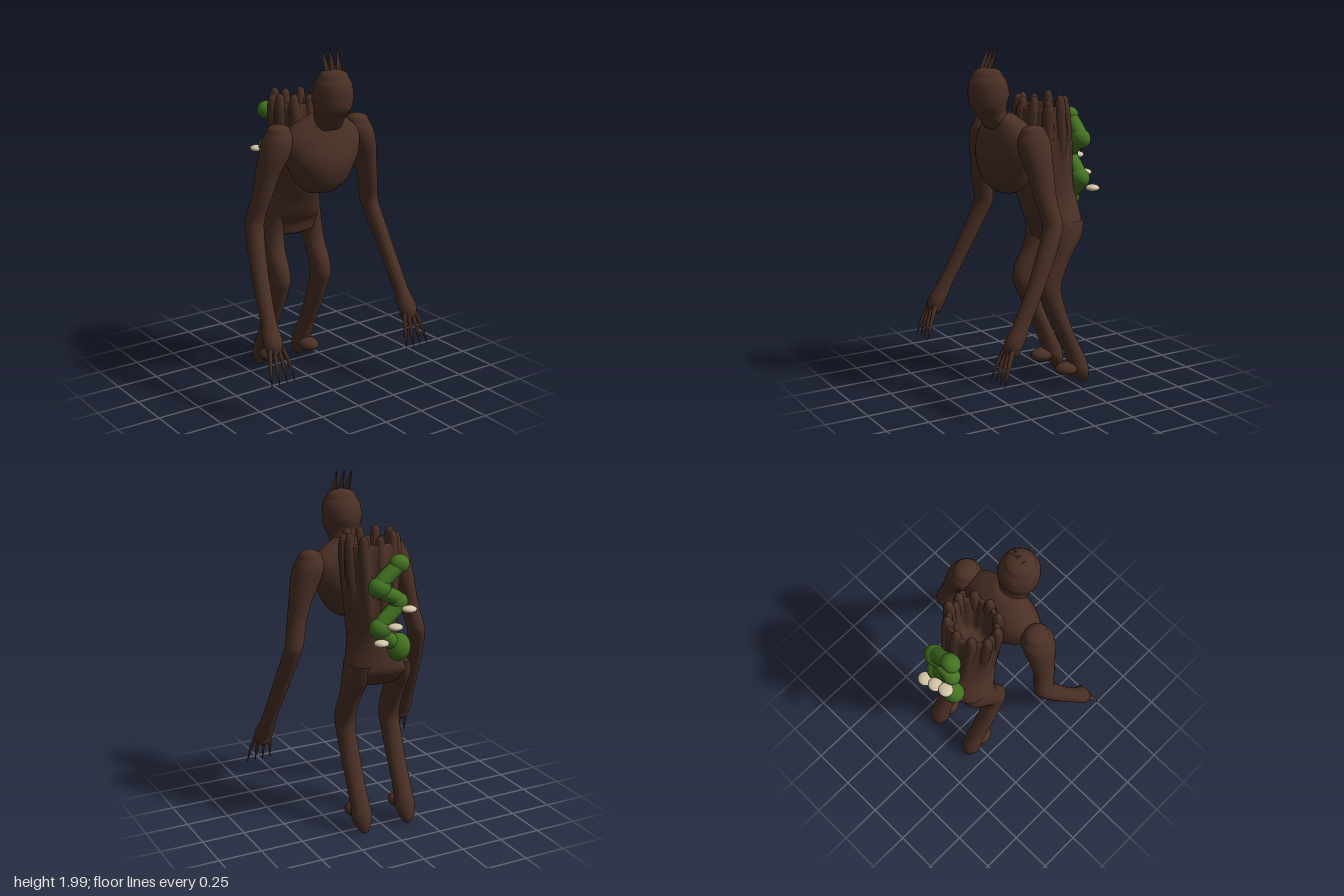
import * as THREE from 'three';

const bark = new THREE.MeshStandardMaterial({ color: 0x4a3025 });
bark.name = 'bark brown';
const moss = new THREE.MeshStandardMaterial({ color: 0x437321 });
moss.name = 'moss green';
const cream = new THREE.MeshStandardMaterial({ color: 0xd6c7a8 });
cream.name = 'mushroom cream';

const catmull = (a, b, c, d, t) =>
  0.5 * (2 * b + (c - a) * t + (2 * a - 5 * b + 4 * c - d) * t * t + (3 * b - a - 3 * c + d) * t * t * t);

// Smooth skin over horizontal slices [y, x, z, rx, rz], listed from top to bottom,
// with rounded caps of the given heights.
function loft(name, rows, { top = 0, bottom = 0, sides = 24, steps = 4, ridge = null } = {}) {
  const rings = [];
  const cap = (row, h, u) => {
    const k = Math.max(Math.cos(u * Math.PI / 2), 0.01);
    return [row[0] + h * Math.sin(u * Math.PI / 2), row[1], row[2], row[3] * k, row[4] * k];
  };
  const last = rows.length - 1;
  if (top) for (let i = 5; i > 0; i--) rings.push(cap(rows[0], top, i / 5));
  for (let i = 0; i < last; i++) {
    const [a, b, c, d] = [rows[Math.max(i - 1, 0)], rows[i], rows[i + 1], rows[Math.min(i + 2, last)]];
    for (let k = 0; k < steps; k++) rings.push(b.map((_, n) => catmull(a[n], b[n], c[n], d[n], k / steps)));
  }
  rings.push(rows[last]);
  if (bottom) for (let i = 1; i <= 5; i++) rings.push(cap(rows[last], -bottom, i / 5));

  const pos = [], index = [];
  rings.forEach(([y, x, z, rx, rz], i) => {
    for (let j = 0; j < sides; j++) {
      const t = (j / sides) * Math.PI * 2;
      const f = ridge ? ridge(t, y) : 1;
      pos.push(x + rx * f * Math.sin(t), y, z + rz * f * Math.cos(t));
      if (i === rings.length - 1) continue;
      const a = i * sides + j, b = i * sides + (j + 1) % sides;
      index.push(a, a + sides, b, a + sides, b + sides, b);
    }
  });
  const g = new THREE.BufferGeometry();
  g.setAttribute('position', new THREE.Float32BufferAttribute(pos, 3));
  g.setIndex(index);
  g.computeVertexNormals();
  const mesh = new THREE.Mesh(g, bark);
  mesh.name = name;
  return mesh;
}

function ellipsoid(name, material, [x, y, z], [rx, ry, rz]) {
  const mesh = new THREE.Mesh(new THREE.SphereGeometry(1, 24, 16), material);
  mesh.name = name;
  mesh.position.set(x, y, z);
  mesh.scale.set(rx, ry, rz);
  return mesh;
}

// Arm with a hand and four curved claws
function arm(s) {
  const g = new THREE.Group();
  g.name = s > 0 ? 'leftArm' : 'rightArm';
  g.add(loft('armAndHand', [
    [1.55, 0.265, 0.1, 0.065, 0.07], [1.5, 0.272, 0.1, 0.085, 0.092], [1.42, 0.295, 0.1, 0.085, 0.09],
    [1.32, 0.33, 0.09, 0.066, 0.075], [1.2, 0.36, 0.08, 0.055, 0.063], [1.08, 0.388, 0.055, 0.052, 0.058],
    [1.02, 0.4, 0.06, 0.051, 0.058], [0.9, 0.42, 0.11, 0.048, 0.055], [0.7, 0.445, 0.205, 0.045, 0.05],
    [0.55, 0.46, 0.285, 0.043, 0.05], [0.46, 0.468, 0.335, 0.056, 0.054], [0.41, 0.468, 0.35, 0.048, 0.042],
  ].map(([y, x, ...r]) => [y, x * s, ...r]), { top: 0.04, bottom: 0.04 }));
  for (const o of [-0.075, -0.025, 0.025, 0.075]) {
    g.add(loft('claw', [
      [0.43, s * (0.466 + o * 0.5), 0.365, 0.013, 0.018], [0.34, s * (0.466 + o * 0.8), 0.405, 0.01, 0.013],
      [0.235, s * (0.466 + o), 0.44, 0.001, 0.001],
    ], { sides: 8 }));
  }
  return g;
}

// Bent leg running down into a pointed heel, with a stubby toe
function leg(s) {
  const g = new THREE.Group();
  g.name = s > 0 ? 'leftLeg' : 'rightLeg';
  g.add(loft('legAndHeel', [
    [1.0, 0.12, -0.2, 0.065, 0.12], [0.9, 0.134, -0.19, 0.067, 0.1], [0.8, 0.14, -0.15, 0.062, 0.073],
    [0.7, 0.143, -0.1, 0.058, 0.075], [0.62, 0.143, -0.08, 0.057, 0.073], [0.55, 0.143, -0.095, 0.055, 0.066],
    [0.4, 0.143, -0.155, 0.055, 0.056], [0.25, 0.143, -0.225, 0.053, 0.055], [0.15, 0.142, -0.27, 0.056, 0.06],
    [0.1, 0.142, -0.285, 0.06, 0.058], [0.05, 0.142, -0.302, 0.044, 0.044], [0.025, 0.142, -0.315, 0.027, 0.027],
  ].map(([y, x, ...r]) => [y, x * s, ...r]), { bottom: 0.017 }));
  g.add(ellipsoid('toe', bark, [0.142 * s, 0.11, -0.205], [0.059, 0.04, 0.072]));
  return g;
}

export function createModel() {
  const model = new THREE.Group();
  model.name = 'treeCreature';

  // Head, neck and chest
  model.add(loft('headAndNeck', [
    [1.84, 0, 0.238, 0.085, 0.085], [1.8, 0, 0.235, 0.107, 0.108], [1.73, 0, 0.23, 0.114, 0.115],
    [1.67, 0, 0.232, 0.105, 0.102], [1.62, 0, 0.205, 0.09, 0.087], [1.55, 0, 0.15, 0.1, 0.09],
  ], { top: 0.045 }));
  model.add(loft('chest', [
    [1.62, 0, 0.15, 0.09, 0.07], [1.57, 0, 0.125, 0.18, 0.1], [1.5, 0, 0.115, 0.25, 0.13],
    [1.4, 0, 0.12, 0.24, 0.15], [1.32, 0, 0.125, 0.2, 0.143], [1.24, 0, 0.125, 0.155, 0.115],
    [1.2, 0, 0.12, 0.11, 0.08],
  ], { top: 0.01, bottom: 0.025, sides: 36 }));

  // Three spikes on the crown
  for (const x of [-0.05, 0, 0.05]) {
    model.add(loft('crownSpike', [
      [1.85, x * 0.7, 0.25, 0.019, 0.026], [1.9, x * 0.8, 0.236, 0.015, 0.016], [2.0, x, 0.195, 0.001, 0.001],
    ], { sides: 8 }));
  }

  // Hollow trunk: from the floor of the hollow, up over the rim, down to the hips
  const lobes = 10;
  model.add(loft('hollowTrunk', [
    [1.38, 0, -0.12, 0.003, 0.003], [1.38, 0, -0.12, 0.08, 0.07], [1.5, 0, -0.115, 0.105, 0.09],
    [1.63, 0, -0.11, 0.118, 0.108], [1.66, 0, -0.11, 0.14, 0.125], [1.62, 0, -0.11, 0.158, 0.145],
    [1.4, 0, -0.115, 0.152, 0.162], [1.2, 0, -0.125, 0.138, 0.18], [1.1, 0, -0.155, 0.145, 0.175],
    [1.0, 0, -0.185, 0.18, 0.16], [0.95, 0, -0.2, 0.195, 0.135], [0.89, 0, -0.185, 0.175, 0.1],
  ], {
    bottom: 0.03, sides: 60,
    ridge: (t, y) => 1 + 0.05 * Math.cos(lobes * t) * THREE.MathUtils.smoothstep(y, 1.05, 1.5),
  }));

  // Root-like lobes that climb the trunk and stand around its rim
  for (let i = 0; i < lobes; i++) {
    const a = (i / lobes) * Math.PI * 2;
    const row = (y, z, rx, rz, r) => [y, rx * Math.sin(a), z + rz * Math.cos(a), r, r];
    const tall = 1.67 + 0.012 * Math.sin(i * 2.4);
    model.add(loft('rimLobe', [
      row(tall, -0.108, 0.15, 0.122, 0.026), row(1.61, -0.108, 0.146, 0.125, 0.034),
      row(1.45, -0.115, 0.135, 0.14, 0.033), row(1.28, -0.12, 0.118, 0.155, 0.028),
    ], { top: 0.042, bottom: 0.06, sides: 12 }));
  }

  for (const s of [1, -1]) model.add(arm(s), leg(s));

  // Zigzag moss growing up the back
  const blobs = [[-0.06, 1.57, 0.052], [0.06, 1.45, 0.058], [-0.055, 1.36, 0.05], [0.055, 1.22, 0.058], [-0.06, 1.1, 0.062]];
  const mossGroup = new THREE.Group();
  mossGroup.name = 'backMoss';
  const path = new THREE.CatmullRomCurve3(blobs.map(([x, y]) => new THREE.Vector3(x, y, -0.335)));
  const stem = new THREE.Mesh(new THREE.TubeGeometry(path, 60, 0.044, 14), moss);
  stem.name = 'mossStem';
  mossGroup.add(stem);
  blobs.forEach(([x, y, r], i) => {
    mossGroup.add(ellipsoid('mossBlob', moss, [x, y, -0.335], [r * 1.12, i === 4 ? 0.08 : r, r * 0.98]));
  });
  model.add(mossGroup);

  // Flat mushroom caps stepping across the moss
  [[-0.085, 1.33], [0, 1.24], [0.085, 1.16]].forEach(([x, y]) =>
    model.add(ellipsoid('mushroomCap', cream, [x, y, -0.405], [0.042, 0.02, 0.04])));

  return model;
}
